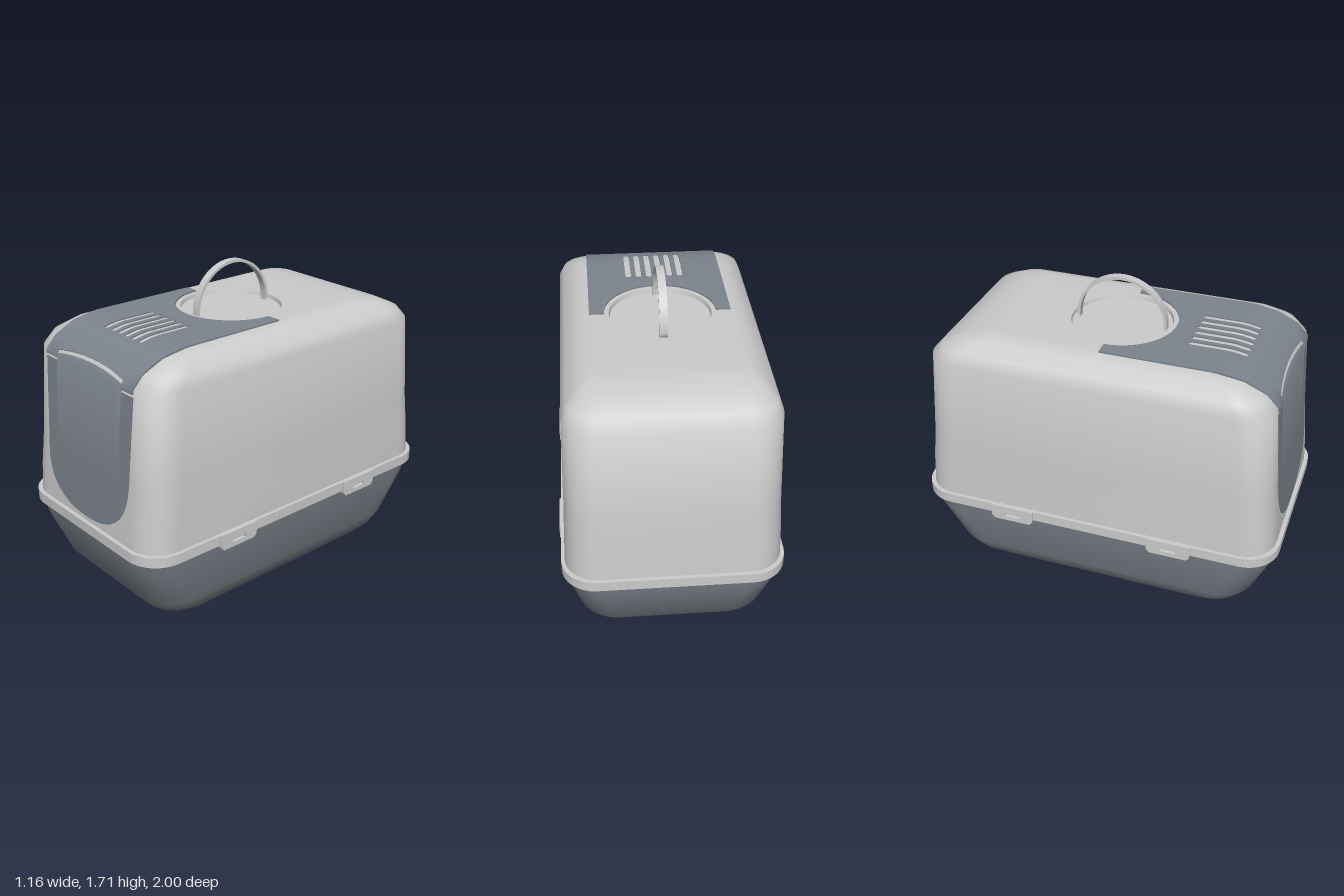
import * as THREE from 'three';
import { mergeGeometries, toCreasedNormals } from 'three/addons/utils/BufferGeometryUtils.js';

const light = new THREE.MeshStandardMaterial({ color: 0xcccccc, side: THREE.DoubleSide });
const dark = new THREE.MeshStandardMaterial({ color: 0x7d848d, side: THREE.DoubleSide });
const CREASE = 0.9;

// Cross-sections: [height, half width, half depth, corner radius]
const TRAY = [
  [0, 0.35, 0.58, 0.1], [0.02, 0.41, 0.7, 0.14], [0.07, 0.455, 0.81, 0.17],
  [0.14, 0.487, 0.87, 0.19], [0.38, 0.54, 0.965, 0.18], [0.47, 0.555, 0.98, 0.17],
];
const HOOD = [
  [0.48, 0.552, 0.98, 0.17], [0.66, 0.547, 0.97, 0.17], [0.85, 0.54, 0.95, 0.17],
  [1.33, 0.53, 0.915, 0.17], [1.39, 0.505, 0.86, 0.15], [1.442, 0.44, 0.75, 0.11],
  [1.462, 0.39, 0.64, 0.09], [1.465, 0.36, 0.6, 0.07],
];
const TOP = 1.465;
// The hood roof runs on into a round, shallow dish
const DISH = [[TOP, 0.27, 0.27, 0.27], [TOP - 0.02, 0.265, 0.265, 0.265]];
const RIM = [
  [0.455, 0.545, 0.965, 0.16], [0.455, 0.57, 1, 0.18],
  [0.51, 0.57, 1, 0.18], [0.51, 0.54, 0.965, 0.16],
];

function buildGeometry(positions, index) {
  const g = new THREE.BufferGeometry();
  g.setAttribute('position', new THREE.Float32BufferAttribute(positions, 3));
  g.setIndex(index);
  return toCreasedNormals(g, CREASE);
}

// Skin over rounded-rectangle sections, listed from bottom to top
function loft(sections, { capBottom = false, capTop = false } = {}) {
  const pos = [], idx = [], seg = 8, n = 4 * (seg + 1);
  for (const [y, hx, hz, r] of sections) {
    for (let i = 0; i < n; i++) {
      const corner = Math.floor(i / (seg + 1));
      const a = (corner + (i % (seg + 1)) / seg) * Math.PI / 2;
      const sx = corner === 0 || corner === 3 ? 1 : -1, sz = corner < 2 ? 1 : -1;
      pos.push(sx * (hx - r) + r * Math.cos(a), y, sz * (hz - r) + r * Math.sin(a));
    }
  }
  const last = sections.length - 1;
  for (let j = 0; j < last; j++) {
    for (let i = 0; i < n; i++) {
      const a = j * n + i, b = j * n + (i + 1) % n;
      idx.push(a, a + n, b, b, a + n, b + n);
    }
  }
  const cap = (j, up) => {
    const c = pos.length / 3;
    pos.push(0, sections[j][0], 0);
    for (let i = 0; i < n; i++) {
      const a = j * n + i, b = j * n + (i + 1) % n;
      idx.push(c, ...(up ? [b, a] : [a, b]));
    }
  };
  if (capBottom) cap(0, false);
  if (capTop) cap(last, true);
  return buildGeometry(pos, idx);
}

// Centre line over the roof and down the front, with t = z - y growing along it
const LINE = [[0, TOP], ...HOOD.map(([y, , hz]) => [hz, y]).reverse()]
  .map(([z, y]) => ({ z, y, t: z - y }));

function lookup(key, value) {
  let i = 1;
  const falling = key === 'y';
  while (i < LINE.length - 1 && (falling ? LINE[i][key] > value : LINE[i][key] < value)) i++;
  const a = LINE[i - 1], b = LINE[i];
  const k = a[key] === b[key] ? 0 : (value - a[key]) / (b[key] - a[key]);
  const mix = (p) => a[p] + (b[p] - a[p]) * k;
  return { z: mix('z'), y: mix('y'), t: mix('t') };
}
const atZ = (z) => lookup('z', z).t;
const atY = (y) => lookup('y', y).t;

// Point on the hood's centre strip, raised by an offset; the strip narrows downwards
function onHood(x, t, offset) {
  const p = lookup('t', t), q = lookup('t', t + 0.004), o = lookup('t', t - 0.004);
  const dz = q.z - o.z, dy = q.y - o.y, len = Math.hypot(dz, dy) || 1;
  const width = 1 - 0.1 * Math.max(0, 1.3 - p.y);
  return [x * width, p.y + offset * dz / len, p.z - offset * dy / len];
}

// Raised plate between x0 and x1, from edge lo(x) to edge hi(x), with turned-down borders
function plate(x0, x1, lo, hi, raise, cols = 6) {
  const pos = [], idx = [], xs = [];
  for (let i = 0; i <= cols; i++) xs.push((x0 + x1) / 2 - (x1 - x0) / 2 * Math.cos(Math.PI * i / cols));
  const columns = [xs[0], ...xs, xs[cols]];
  const rows = LINE.length + 4;
  columns.forEach((x, i) => {
    const a = lo(x), b = hi(x);
    const ts = [a, a, ...LINE.map((p) => Math.min(b, Math.max(a, p.t))), b, b];
    ts.forEach((t, j) => {
      const border = i === 0 || i === columns.length - 1 || j === 0 || j === rows - 1;
      pos.push(...onHood(x, t, border ? -0.015 : raise));
    });
  });
  for (let i = 0; i < columns.length - 1; i++) {
    for (let j = 0; j < rows - 1; j++) {
      const a = i * rows + j, b = a + rows;
      idx.push(a, a + 1, b, b, a + 1, b + 1);
    }
  }
  return buildGeometry(pos, idx);
}

// Stepped, slightly arched seam between roof panel and flap
const seamY = (x, centre) => (centre ? 1.338 + 0.022 * (1 - (x / 0.28) ** 2) : 1.302);
const W = 0.372, STEP = 0.28, GAP = 0.007;

function roofPanel() {
  const notch = (x) => atZ(Math.sqrt(Math.max(0, 0.295 ** 2 - x * x)));
  const end = (centre) => (x) => atY(seamY(x, centre) + GAP);
  const parts = [];
  for (const s of [-1, 1]) {
    const span = (a, b) => (s > 0 ? [a, b] : [-b, -a]);
    parts.push(plate(...span(0.295, W), notch, end(false), 0.007, 2));
    parts.push(plate(...span(STEP, 0.295), notch, end(false), 0.007, 4));
  }
  // Six vent slots with rounded ends leave strips between them
  const half = 0.016;
  let x = -STEP;
  for (let i = 0; i < 6; i++) {
    const c = (i - 2.5) * 0.0575;
    const round = (v) => Math.sqrt(Math.max(0, half * half - (v - c) ** 2));
    parts.push(plate(x, c - half, notch, end(true), 0.007));
    parts.push(plate(c - half, c + half, notch, (v) => atZ(0.416 - round(v)), 0.007));
    parts.push(plate(c - half, c + half, (v) => atZ(0.694 + round(v)), end(true), 0.007));
    x = c + half;
  }
  parts.push(plate(x, STEP, notch, end(true), 0.007));
  return mergeGeometries(parts);
}

function entryFlap() {
  const bottom = (x) => {
    const u = Math.min(1, Math.abs(x) / W);
    return atY(0.83 - 0.295 * (1 - u ** 2.4) ** (1 / 2.4));
  };
  const start = (centre) => (x) => atY(seamY(x, centre) - GAP);
  return mergeGeometries([
    plate(-W, -STEP, start(false), bottom, 0.004, 8),
    plate(-STEP, STEP, start(true), bottom, 0.004, 16),
    plate(STEP, W, start(false), bottom, 0.004, 8),
  ]);
}

// Side clip: plate with chamfered lower corners and a slot
function clipGeometry() {
  const s = new THREE.Shape([[-0.122, 0.51], [-0.118, 0.44], [-0.1, 0.422], [0.1, 0.422], [0.118, 0.44], [0.122, 0.51]]
    .map((p) => new THREE.Vector2(...p)));
  s.holes.push(new THREE.Path([[-0.045, 0.448], [-0.04, 0.47], [0.04, 0.47], [0.045, 0.448]]
    .map((p) => new THREE.Vector2(...p))));
  const g = new THREE.ExtrudeGeometry(s, { depth: 0.026, bevelEnabled: false });
  return g.translate(0, 0, -0.013).rotateY(Math.PI / 2);
}

// Half-hoop carrying handle with short legs into the dish
function handleGeometry() {
  const s = new THREE.Shape();
  s.moveTo(0.245, -0.022);
  s.absarc(0, 0, 0.245, 0, Math.PI, false);
  s.lineTo(-0.245, -0.022);
  s.lineTo(-0.23, -0.022);
  s.absarc(0, 0, 0.23, Math.PI, 0, true);
  s.lineTo(0.23, -0.022);
  const g = new THREE.ExtrudeGeometry(s, { depth: 0.042, bevelEnabled: false, curveSegments: 24 });
  return toCreasedNormals(g.translate(0, 0, -0.021).rotateY(Math.PI / 2), CREASE);
}

export function createModel() {
  const model = new THREE.Group();
  model.name = 'coveredTray';
  const add = (name, geometry, material) => {
    const mesh = new THREE.Mesh(geometry, material);
    mesh.name = name;
    model.add(mesh);
    return mesh;
  };
  add('tray', loft(TRAY, { capBottom: true }), dark);
  add('hood', loft([...HOOD, ...DISH], { capTop: true }), light);
  add('rim', loft(RIM), light);
  add('roofPanel', roofPanel(), dark);
  add('entryFlap', entryFlap(), dark);
  add('handle', handleGeometry(), light).position.y = TOP;
  const clip = clipGeometry();
  for (const side of [-1, 1]) {
    for (const end of [-1, 1]) {
      const name = (end > 0 ? 'front' : 'back') + (side > 0 ? 'Left' : 'Right') + 'Clip';
      add(name, clip, light).position.set(side * 0.565, 0, end * 0.443);
    }
  }
  return model;
}
